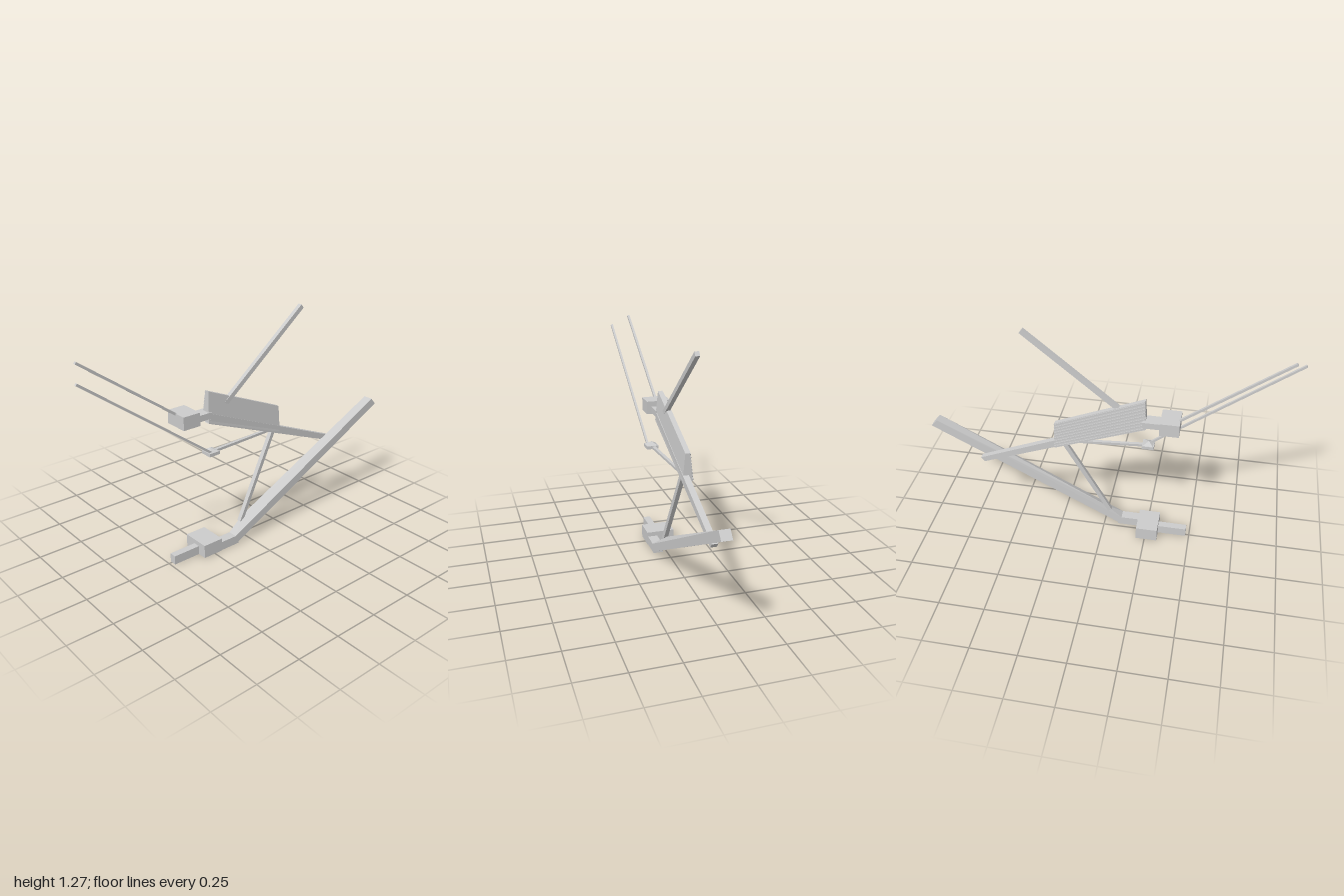
import * as THREE from 'three';
import { ConvexGeometry } from 'three/addons/geometries/ConvexGeometry.js';

const material = new THREE.MeshStandardMaterial({ color: 0xcccccc, flatShading: true });
const V = (x, y, z) => new THREE.Vector3(x, y, z);

export function createModel() {
  const model = new THREE.Group();

  const add = (name, geometry) => {
    const mesh = new THREE.Mesh(geometry, material);
    mesh.name = name;
    model.add(mesh);
    return mesh;
  };
  // Axis-aligned box given by its extents
  const block = (name, [x0, x1], [y0, y1], [z0, z1]) =>
    add(name, new THREE.BoxGeometry(x1 - x0, y1 - y0, z1 - z0))
      .position.set((x0 + x1) / 2, (y0 + y1) / 2, (z0 + z1) / 2);
  // Square bar running from a to b
  const bar = (name, a, b, width, height = width) => {
    const mesh = add(name, new THREE.BoxGeometry(width, height, a.distanceTo(b)));
    mesh.position.copy(a).add(b).multiplyScalar(0.5);
    mesh.lookAt(b);
  };
  // Convex solid through the given corners
  const solid = (name, ...corners) => add(name, new ConvexGeometry(corners));

  // Foot: front bar, wide block and the piece leading to the long beam
  block('footBar', [-0.012, 0.028], [0, 0.05], [0.2, 0.48]);
  block('footBlock', [-0.08, 0.08], [0, 0.075], [0.2, 0.32]);
  block('footLink', [0.022, 0.077], [0, 0.05], [0.08, 0.21]);

  // Long sloping beam, its inner upper edge raised at the foot
  solid('beam',
    V(0.022, 0, 0.1), V(0.077, 0, 0.1), V(0.022, 0.05, 0.1), V(0.077, 0.05, 0.1),
    V(0.024, 0.125, 0.015),
    V(0.03, 0.565, -1), V(0.085, 0.565, -1), V(0.03, 0.605, -0.965), V(0.085, 0.605, -0.965));

  // Arm that carries the upper body and meets the beam
  solid('arm', ...[-0.014, 0.019].flatMap(x => [
    V(x, 0.745, 0.23), V(x, 0.795, 0.21), V(x, 0.385, -0.69), V(x, 0.41, -0.71)]));

  // Strut between arm and foot
  bar('strut', V(0.005, 0.58, -0.225), V(0.03, 0.1, 0.03), 0.024);

  // Upper body: wedge-shaped casing, narrower along its top
  const bottomX = [-0.036, 0.02], topX = [-0.02, 0.006];
  solid('casing',
    ...bottomX.flatMap(x => [V(x, 0.75, 0.23), V(x, 0.56, -0.27)]),
    ...topX.flatMap(x => [V(x, 0.917, 0.22), V(x, 0.712, -0.27)]));

  // Lengthwise slats on the sloping side of the casing
  const slats = 9;
  for (let i = 0; i < slats; i++) {
    const t = (i + 0.5) / slats;
    const x = THREE.MathUtils.lerp(bottomX[0], topX[0], t);
    bar('slat',
      V(x, THREE.MathUtils.lerp(0.75, 0.917, t), 0.23 - 0.01 * t),
      V(x, THREE.MathUtils.lerp(0.56, 0.712, t), -0.27), 0.006, 0.008);
  }

  // Mast above the casing
  bar('mast', V(-0.002, 0.82, 0.11), V(0.002, 1.255, -0.425), 0.024, 0.026);

  // Head and neck
  block('head', [-0.09, 0.046], [0.763, 0.836], [0.305, 0.408]);
  block('neck', [-0.052, 0.02], [0.77, 0.805], [0.21, 0.31]);

  // Lower hand: thin plate with a low peak, and its forearm
  block('hand', [0.008, 0.075], [0.586, 0.604], [0.205, 0.27]);
  solid('handPeak', V(0.012, 0.604, 0.21), V(0.072, 0.604, 0.21),
    V(0.012, 0.604, 0.265), V(0.072, 0.604, 0.265), V(0.04, 0.622, 0.24));
  bar('forearm', V(0.038, 0.595, 0.22), V(0.005, 0.588, -0.22), 0.018, 0.014);

  // Two thin raised rods
  bar('upperRod', V(-0.03, 0.82, 0.39), V(-0.014, 1.222, 0.943), 0.013);
  bar('lowerRod', V(0.06, 0.602, 0.25), V(0.081, 1.16, 0.997), 0.012);

  return model;
}
